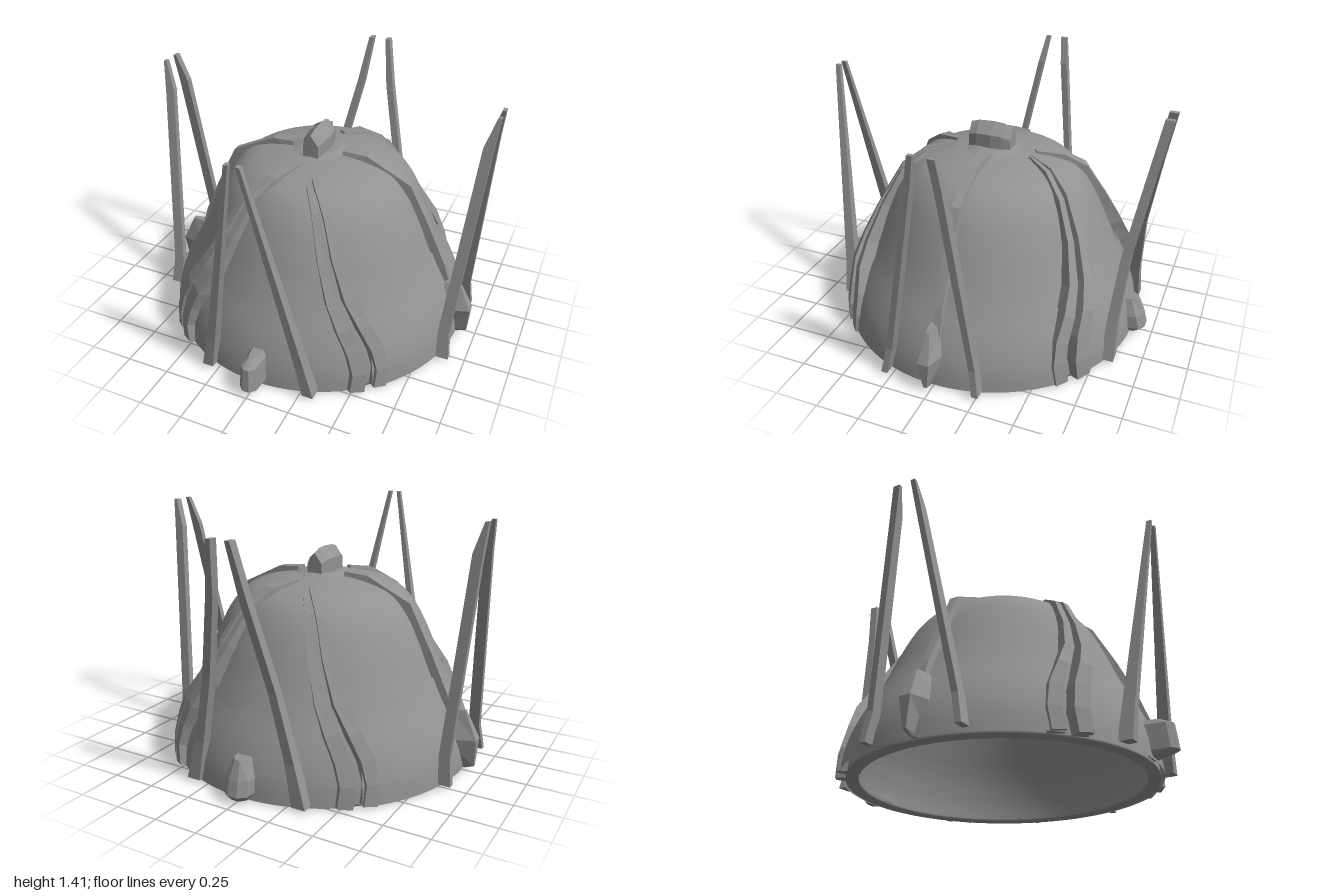
import * as THREE from 'three';

const V = (x, y, z) => new THREE.Vector3(x, y, z);
const smooth = new THREE.MeshStandardMaterial({ color: 0x929292, side: THREE.DoubleSide });
const flat = new THREE.MeshStandardMaterial({ color: 0x929292, flatShading: true });

// Dome profile (radius, height), sampled smoothly
const profile = new THREE.SplineCurve([
  [0.855, 0], [0.845, 0.1], [0.817, 0.22], [0.782, 0.32], [0.743, 0.41], [0.712, 0.48], [0.668, 0.58],
  [0.608, 0.72], [0.53, 0.865], [0.425, 0.967], [0.25, 1.022], [0.1, 1.04], [0, 1.043],
].map(p => new THREE.Vector2(...p))).getPoints(60);

// Dome radius at a given height
function radiusAt(y) {
  let i = 1;
  while (i < profile.length - 1 && profile[i].y < y) i++;
  const a = profile[i - 1], b = profile[i];
  return a.x + (b.x - a.x) * (y - a.y) / (b.y - a.y);
}

// Point on the dome raised by h along its normal; azimuth is measured from the front
function onDome(azimuth, y, h) {
  const a = THREE.MathUtils.degToRad(azimuth);
  const slope = (radiusAt(y + 0.01) - radiusAt(y - 0.01)) / 0.02;
  const n = V(Math.sin(a), -slope, Math.cos(a)).normalize();
  const r = radiusAt(y);
  return { p: V(Math.sin(a) * r, y, Math.cos(a) * r).addScaledVector(n, h), n };
}

function mesh(name, geometry, material = flat) {
  const m = new THREE.Mesh(geometry, material);
  m.name = name;
  return m;
}

// Closed solid through equal-sized rings of corners
function loft(rings) {
  const k = rings[0].length, pts = rings.flat(), idx = [];
  for (let i = 0; i < rings.length - 1; i++) for (let j = 0; j < k; j++) {
    const a = i * k + j, b = i * k + (j + 1) % k;
    idx.push(a, b, b + k, a, b + k, a + k);
  }
  const last = (rings.length - 1) * k;
  for (let j = 1; j < k - 1; j++) idx.push(0, j + 1, j, last, last + j, last + j + 1);
  // Turn the faces outward if the signed volume is negative
  let volume = 0;
  for (let i = 0; i < idx.length; i += 3) {
    volume += pts[idx[i]].dot(pts[idx[i + 1]].clone().cross(pts[idx[i + 2]]));
  }
  if (volume < 0) idx.reverse();
  const g = new THREE.BufferGeometry().setFromPoints(pts);
  g.setIndex(idx);
  const out = g.toNonIndexed();
  out.computeVertexNormals();
  return out;
}

// Raised strip following the dome: rows of azimuth, height, half width, thickness
function ribGeometry(rows, mx, mz) {
  const at = rows.map(r => onDome(r[0], r[1], 0));
  return loft(rows.map(([az, y, w, h], i) => {
    const dir = at[Math.min(i + 1, rows.length - 1)].p.clone().sub(at[Math.max(i - 1, 0)].p);
    const { p, n } = at[i];
    const side = dir.cross(n).normalize().multiplyScalar(w);
    return [[1, -0.03], [0.75, h], [-0.75, h], [-1, -0.03]].map(([s, d]) => {
      const q = p.clone().addScaledVector(side, s).addScaledVector(n, d);
      return V(q.x * mx, Math.max(q.y, 0.005), q.z * mz);
    });
  }));
}

// Blade with a box section: rows of x, y, z, half width in x, half width in z
function bladeGeometry(rows, mx) {
  return loft(rows.map(([x, y, z, a, b]) =>
    [[-1, -1], [1, -1], [1, 1], [-1, 1]].map(([s, t]) => V((x + s * a) * mx, y, z + t * b))));
}

// Thin plate over the lower dome with a shaped top edge, swelling by lift towards its foot
function skirtGeometry(centre, half, lift, top) {
  const nu = 40, nv = 12, pos = [], idx = [];
  for (let i = 0; i <= nu; i++) for (let j = 0; j <= nv; j++) {
    const u = i / nu * 2 - 1;
    const y = 0.005 + (top(u) - 0.005) * j / nv;
    const h = 0.008 + lift * (1 - THREE.MathUtils.smoothstep(y, 0.1, 0.48));
    pos.push(...onDome(centre + u * half, y, h).p.toArray());
    if (i < nu && j < nv) {
      const a = i * (nv + 1) + j, b = a + nv + 1;
      idx.push(a, b, b + 1, a, b + 1, a + 1);
    }
  }
  const g = new THREE.BufferGeometry();
  g.setAttribute('position', new THREE.Float32BufferAttribute(pos, 3));
  g.setIndex(idx);
  g.computeVertexNormals();
  return g;
}

export function createModel() {
  const group = new THREE.Group();

  // Hollow dome: down the inside, round the rim and up the outside
  const inner = profile.map(p => new THREE.Vector2(p.x * 0.92, p.y * 0.945)).reverse();
  group.add(mesh('dome', new THREE.LatheGeometry([...inner, ...profile], 64), smooth));

  // Lower plates: a gentle edge at front and back, a notched one on the sides
  for (const c of [0, 180]) {
    group.add(mesh('endPlate', skirtGeometry(c, 34, 0.014, u => 0.43 + 0.012 * Math.cos(u * 9)), smooth));
  }
  const notched = u => 0.52 - 0.08 * Math.exp(-(((Math.abs(u) - 0.68) / 0.12) ** 2));
  for (const c of [90, -90]) group.add(mesh('sidePlate', skirtGeometry(c, 48, 0.026, notched), smooth));

  // Two sweeping ribs in each quarter
  const innerRib = [[8, 1.024, 0.015, 0.015], [15, 0.985, 0.02, 0.03], [20.5, 0.9, 0.025, 0.04],
    [24, 0.7, 0.03, 0.05], [28, 0.5, 0.04, 0.075], [32, 0.36, 0.05, 0.085],
    [35.5, 0.24, 0.055, 0.07], [37, 0.12, 0.055, 0.065], [36, 0.01, 0.055, 0.055]];
  const outerRib = [[11, 1.025, 0.015, 0.012], [21, 0.985, 0.02, 0.025], [27, 0.89, 0.024, 0.035],
    [30.5, 0.7, 0.028, 0.045], [35, 0.5, 0.036, 0.065], [40, 0.36, 0.044, 0.075],
    [44, 0.24, 0.048, 0.06], [45.5, 0.12, 0.048, 0.055], [44.5, 0.01, 0.048, 0.05]];
  for (const mx of [1, -1]) for (const mz of [1, -1]) {
    group.add(mesh('innerRib', ribGeometry(innerRib, mx, mz)));
    group.add(mesh('outerRib', ribGeometry(outerRib, mx, mz)));
  }

  for (const s of [1, -1]) {
    // Side ridge from the crown to the side gem
    group.add(mesh('sideRidge', ribGeometry([[90, 1.036, 0.05, 0.025], [90, 1.015, 0.035, 0.035],
      [90, 0.89, 0.032, 0.05], [90, 0.65, 0.03, 0.045], [90, 0.42, 0.026, 0.05],
      [90, 0.25, 0.026, 0.035]], s, 1)));

    // Diamond-shaped side gem
    group.add(mesh('sideGem', loft([[0.35, 0.025, 0.885], [0.19, 0.08, 0.96], [0.03, 0.025, 0.95], [0.01, 0.02, 0.9]]
      .map(([y, w, x]) => [V(s * 0.8, y, 0.02 - w), V(s * x, y, 0.02 - w * 0.4),
        V(s * x, y, 0.02 + w * 0.4), V(s * 0.8, y, 0.02 + w)]))));

    // Tall blades: two on each side, one of each front and back pair
    group.add(mesh('sideFrontBlade', bladeGeometry([[0.88, 0.02, 0.285, 0.035, 0.018],
      [0.867, 0.18, 0.252, 0.031, 0.018], [0.947, 1.25, 0.04, 0.027, 0.016],
      [0.98, 1.41, 0.01, 0.01, 0.014]], s)));
    group.add(mesh('sideBackBlade', bladeGeometry([[0.88, 0.02, -0.25, 0.035, 0.018],
      [0.867, 0.18, -0.23, 0.031, 0.018], [0.947, 1.25, -0.115, 0.027, 0.02],
      [0.98, 1.41, -0.095, 0.01, 0.02]], s)));
    group.add(mesh('frontBlade', bladeGeometry([[0.305, 0.02, 0.84, 0.032, 0.04],
      [0.265, 0.22, 0.855, 0.026, 0.033], [0.03, 1.41, 0.97, 0.011, 0.014]], s)));
    group.add(mesh('backBlade', bladeGeometry([[0.33, 0.02, -0.82, 0.04, 0.035],
      [0.28, 0.25, -0.82, 0.028, 0.03], [0.2, 0.62, -0.845, 0.024, 0.026],
      [0.1, 1.08, -0.92, 0.022, 0.024], [0.055, 1.37, -0.97, 0.014, 0.025]], s)));
  }

  // Low knobs at front and back: rows of height, half width, reach
  const knob = (rows, s) => loft(rows.map(([y, w, z]) => [V(-w * 1.3, y, s * 0.78), V(-w, y, s * (z - 0.03)),
    V(-w * 0.4, y, s * z), V(w * 0.4, y, s * z), V(w, y, s * (z - 0.03)), V(w * 1.3, y, s * 0.78)]));
  group.add(mesh('frontKnob', knob([[0.02, 0.04, 0.9], [0.05, 0.05, 1],
    [0.19, 0.042, 0.985], [0.22, 0.025, 0.92]], 1)));
  group.add(mesh('backKnob', knob([[0.015, 0.05, 0.93], [0.05, 0.07, 0.96],
    [0.13, 0.07, 0.94], [0.23, 0.04, 0.9]], -1)));

  // Crown plate and the ridged block on top
  const plate = new THREE.CylinderGeometry(0.11, 0.2, 0.03, 16).translate(0, 1.037, 0);
  group.add(mesh('crownPlate', plate));
  group.add(mesh('crownBlock', loft([[0.14, 0.045, 1.17], [0.09, 0.06, 1.185], [0, 0.068, 1.19],
    [-0.06, 0.06, 1.185], [-0.11, 0.045, 1.165]].map(([z, w, top]) =>
    [V(-w, 1.02, z), V(w, 1.02, z), V(w, top - 0.06, z), V(0, top, z), V(-w, top - 0.06, z)]))));

  return group;
}
